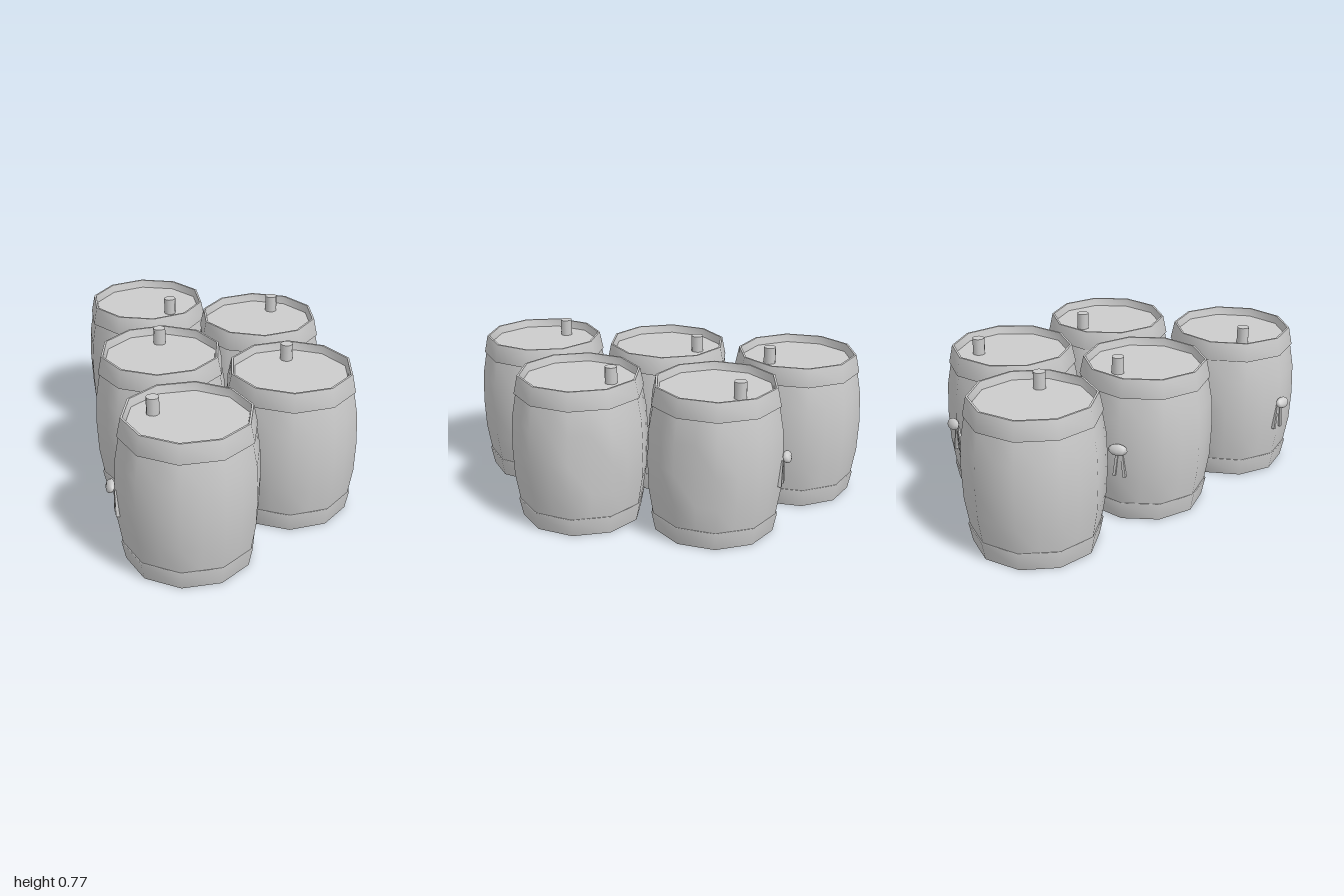
import * as THREE from 'three';
import { mergeVertices } from 'three/addons/utils/BufferGeometryUtils.js';

const SIDES = 10;
const STEP = Math.PI / SIDES;
const material = new THREE.MeshStandardMaterial({ color: 0xcccccc });

const pts = (list) => list.map(([r, y]) => new THREE.Vector2(r, y));

function mesh(name, geometry, x = 0, y = 0, z = 0) {
  const m = new THREE.Mesh(geometry, material);
  m.name = name;
  m.position.set(x, y, z);
  return m;
}

// Ring of flat facets, shaded smoothly around the barrel
function ring(list) {
  return smooth(new THREE.LatheGeometry(pts(list), SIDES, Math.PI / 2));
}

function smooth(g) {
  g.deleteAttribute('uv');
  g.deleteAttribute('normal');
  const merged = mergeVertices(g, 1e-4);
  merged.computeVertexNormals();
  return merged;
}

// Bulging ten-sided body with one shallow dent in the middle of a facet
function bodyGeometry() {
  const profile = pts([[0.305, 0.08], [0.328, 0.22], [0.334, 0.37], [0.328, 0.52], [0.305, 0.65]]);
  const g = new THREE.LatheGeometry(profile, SIDES * 2);
  const p = g.attributes.position;
  for (let i = 0; i < p.count; i++) {
    const k = Math.round(Math.atan2(p.getX(i), p.getZ(i)) / STEP);
    if (k % 2 !== 0) continue;
    // facet midpoints lie on the chord between corners
    p.setX(i, p.getX(i) * Math.cos(STEP));
    p.setZ(i, p.getZ(i) * Math.cos(STEP));
    if (k === 0 && Math.abs(p.getY(i) - 0.37) < 0.01) p.setZ(i, p.getZ(i) - 0.02);
  }
  return smooth(g);
}

const body = bodyGeometry();
const lowerHoop = ring([[0.296, 0], [0.314, 0.09], [0.303, 0.09]]);
const upperHoop = ring([[0.303, 0.637], [0.315, 0.637], [0.296, 0.727]]);
const rimTop = ring([[0.296, 0.727], [0.286, 0.727]]);
const rimInside = ring([[0.286, 0.727], [0.278, 0.688]]);
const lid = new THREE.CircleGeometry(0.279, SIDES).rotateX(-Math.PI / 2);
const base = new THREE.CircleGeometry(0.296, SIDES).rotateX(Math.PI / 2);
const bung = new THREE.CylinderGeometry(0.03, 0.03, 0.085, 10);
const tapCap = new THREE.SphereGeometry(1, 8, 6).scale(0.018, 0.028, 0.048);
const tapLeg = new THREE.BoxGeometry(0.026, 0.13, 0.013);

// Local +x is the tap side, which is a corner of the barrel
function barrel(x, z, degrees) {
  const g = new THREE.Group();
  g.name = 'barrel';
  g.add(
    mesh('body', body),
    mesh('lowerHoop', lowerHoop),
    mesh('upperHoop', upperHoop),
    mesh('rimTop', rimTop),
    mesh('rimInside', rimInside),
    mesh('lid', lid, 0, 0.688, 0),
    mesh('base', base),
    mesh('bung', bung, 0.14, 0.727, 0.084)
  );
  const cap = mesh('tapCap', tapCap, 0.352, 0.393, 0);
  cap.rotation.z = 0.5;
  g.add(cap);
  for (const side of [-1, 1]) {
    const leg = mesh('tapLeg', tapLeg, 0.323, 0.31, side * 0.018);
    leg.rotation.x = -side * 0.12;
    g.add(leg);
  }
  g.position.set(x, 0, z);
  g.rotation.y = -THREE.MathUtils.degToRad(degrees);
  return g;
}

export function createModel() {
  const model = new THREE.Group();
  model.name = 'barrels';
  // x, z and heading of the tap, from +x towards +z
  const layout = [
    [-0.23, -0.666, 21],
    [0.305, -0.33, -82],
    [-0.275, 0.01, -113],
    [0.295, 0.33, -113],
    [-0.27, 0.675, 180],
  ];
  for (const [x, z, degrees] of layout) model.add(barrel(x, z, degrees));
  return model;
}
